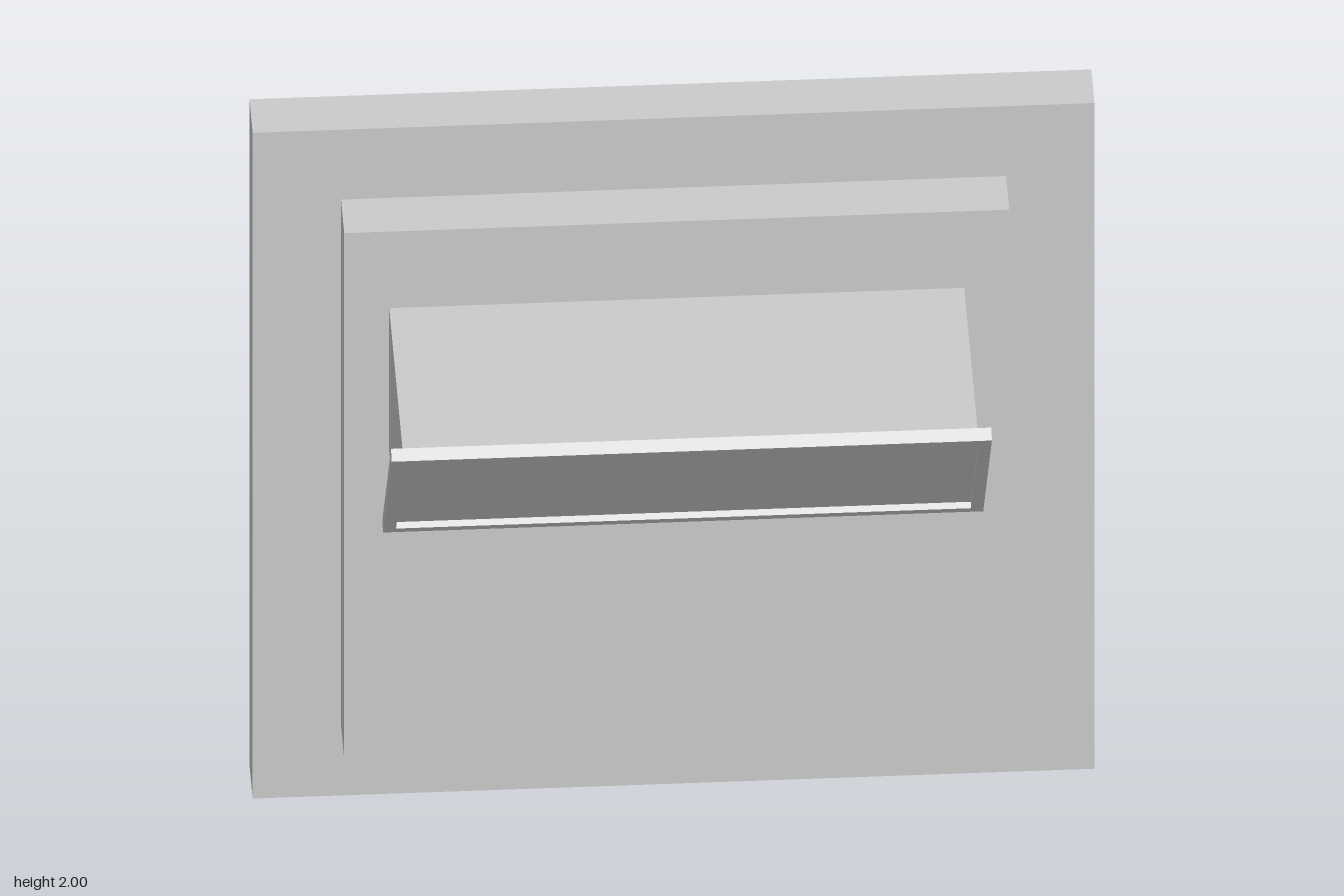
import * as THREE from 'three';
import { toCreasedNormals } from 'three/addons/utils/BufferGeometryUtils.js';

const material = new THREE.MeshStandardMaterial({ color: 0xcccccc, side: THREE.DoubleSide });

// Closed rectangle of corners, running anticlockwise seen from +z; z may differ top and bottom
function rectLoop(w, y0, y1, zBottom, zTop = zBottom) {
  return [[w, y0, zBottom], [w, y1, zTop], [-w, y1, zTop], [-w, y0, zBottom]]
    .map((p) => new THREE.Vector3(...p));
}

// Sheet-metal skin joining two closed loops, from the rear loop to the front loop
function skin(rear, front) {
  const positions = [];
  const n = rear.length;
  const addTriangle = (a, b, c) => {
    if (new THREE.Triangle(a, b, c).getArea() > 1e-9) {
      for (const p of [a, b, c]) positions.push(p.x, p.y, p.z);
    }
  };
  for (let i = 0; i < n; i++) {
    const j = (i + 1) % n;
    addTriangle(rear[i], rear[j], front[j]);
    addTriangle(rear[i], front[j], front[i]);
  }
  const geometry = new THREE.BufferGeometry();
  geometry.setAttribute('position', new THREE.Float32BufferAttribute(positions, 3));
  return toCreasedNormals(geometry, 0.5);
}

// Rectangle outline, usable as a shape or as a hole
function rectPath(path, w, y0, y1) {
  path.moveTo(-w, y0);
  path.lineTo(w, y0);
  path.lineTo(w, y1);
  path.lineTo(-w, y1);
  path.closePath();
  return path;
}

function holedShape(outer, hole) {
  const shape = rectPath(new THREE.Shape(), ...outer);
  shape.holes.push(rectPath(new THREE.Path(), ...hole));
  return shape;
}

function addMesh(parent, name, geometry) {
  const mesh = new THREE.Mesh(geometry, material);
  mesh.name = name;
  parent.add(mesh);
  return mesh;
}

export function createModel() {
  const model = new THREE.Group();
  model.name = 'wallVent';

  const zBack = -0.44, zStep = -0.31, zFace = -0.18;
  const outer = [1, 0, 2];
  const inner = [0.79, 0.21, 1.79];
  const opening = [0.683, 1.13, 1.56];

  // Two stepped trays, open at the back
  addMesh(model, 'outerRim', skin(rectLoop(...outer, zBack), rectLoop(...outer, zStep)));
  addMesh(model, 'outerFace', new THREE.ShapeGeometry(holedShape(outer, inner))).position.z = zStep;
  addMesh(model, 'innerRim', skin(rectLoop(...inner, zStep), rectLoop(...inner, zFace)));
  addMesh(model, 'innerFace', new THREE.ShapeGeometry(holedShape(inner, opening))).position.z = zFace;

  // Projecting hood with a slanted end
  addMesh(model, 'hood', skin(rectLoop(...opening, zFace), rectLoop(...opening, 0.073, 0.385)));

  // Slanted outlet: a frame around a thin recessed panel
  const outlet = new THREE.Group();
  outlet.name = 'outlet';
  outlet.position.set(0, 1.346, 0.249);
  outlet.rotation.x = 0.63;
  model.add(outlet);
  const depth = 0.032;
  const frame = new THREE.ExtrudeGeometry(
    holedShape([0.713, -0.303, 0.303], [0.683, -0.273, 0.273]),
    { depth, bevelEnabled: false },
  );
  addMesh(outlet, 'outletFrame', frame.translate(0, 0, -depth / 2));
  addMesh(outlet, 'outletPanel', new THREE.PlaneGeometry(1.366, 0.546));

  // Duct connector behind the face: square box, square-to-round transition, round collar
  const duct = new THREE.Group();
  duct.name = 'ductConnector';
  duct.position.y = 1;
  model.add(duct);
  const half = 0.22, radius = 0.175, zCollar = -0.415;
  addMesh(duct, 'ductBox', skin(rectLoop(half, -half, half, zStep), rectLoop(half, -half, half, zFace)));

  // Each square corner fans out to a quarter of the circle
  const square = [], circle = [];
  const steps = 12;
  for (let quarter = 0; quarter < 4; quarter++) {
    const diagonal = (quarter + 0.5) * Math.PI / 2;
    for (let i = 0; i <= steps; i++) {
      const angle = (quarter + i / steps) * Math.PI / 2;
      square.push(new THREE.Vector3(
        half * Math.sign(Math.cos(diagonal)), half * Math.sign(Math.sin(diagonal)), zStep));
      circle.push(new THREE.Vector3(radius * Math.cos(angle), radius * Math.sin(angle), zCollar));
    }
  }
  addMesh(duct, 'ductTransition', skin(circle, square));
  const collarEnd = circle.map((p) => new THREE.Vector3(p.x, p.y, zBack));
  addMesh(duct, 'ductCollar', skin(collarEnd, circle));

  return model;
}
